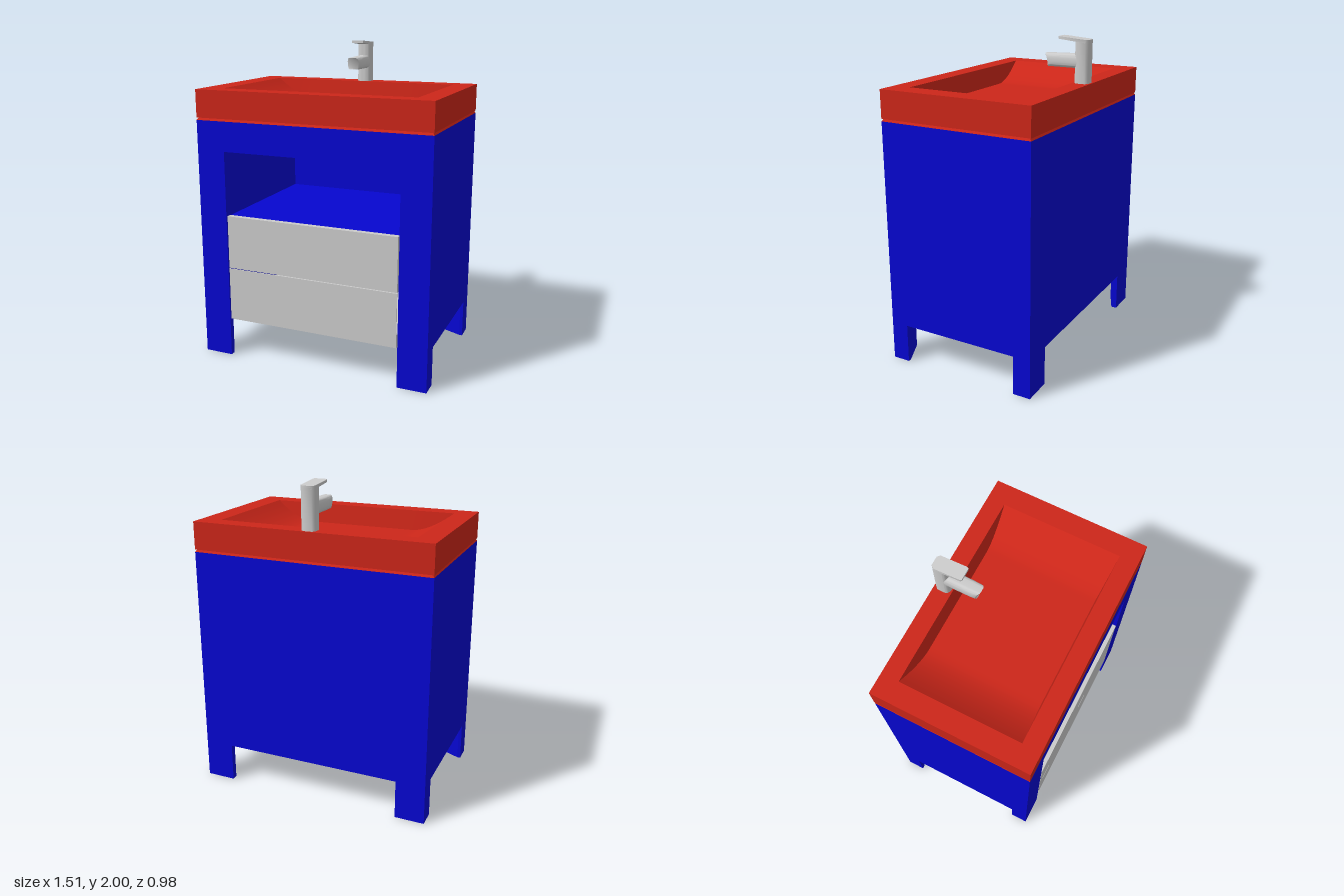
import * as THREE from 'three';
import { toCreasedNormals } from 'three/addons/utils/BufferGeometryUtils.js';

const blue = new THREE.MeshStandardMaterial({ color: 0x0606d0 });
const red = new THREE.MeshStandardMaterial({ color: 0xcc2619 });
const grey = new THREE.MeshStandardMaterial({ color: 0xcccccc });

function add(parent, name, geometry, material) {
  const mesh = new THREE.Mesh(geometry, material);
  mesh.name = name;
  parent.add(mesh);
  return mesh;
}

// Box given by its lower and upper limits on each axis
function box(parent, name, material, [x0, x1], [y0, y1], [z0, z1]) {
  const mesh = add(parent, name, new THREE.BoxGeometry(x1 - x0, y1 - y0, z1 - z0), material);
  mesh.position.set((x0 + x1) / 2, (y0 + y1) / 2, (z0 + z1) / 2);
  return mesh;
}

function polygon(points) {
  return new THREE.Shape(points.map(([x, y]) => new THREE.Vector2(x, y)));
}

// Extrudes a plan outline, drawn as (x, -z), upward from y0 to y1
function extrudeUp(shape, y0, y1) {
  const g = new THREE.ExtrudeGeometry(shape, { depth: y1 - y0, bevelEnabled: false, curveSegments: 10 });
  return g.rotateX(-Math.PI / 2).translate(0, y0, 0);
}

const W = 0.756, D = 0.491, IN = 0.57, LEG_Z = 0.38, BASE = 0.248, TOP = 1.54, RIM = 1.728;
const FRONT_T = 0.036, PANEL_T = 0.005, NICHE_TOP = 1.353;

function makeCabinet() {
  const g = new THREE.Group();
  g.name = 'cabinet';
  for (const s of [-1, 1]) {
    const span = (a, b) => (s > 0 ? [a, b] : [-b, -a]);
    // Hollow side: outer panel, inner wall and front face
    box(g, 'sidePanel', blue, span(W - PANEL_T, W), [BASE, TOP], [-D, D]);
    box(g, 'innerWall', blue, span(IN, IN + PANEL_T), [BASE, TOP], [-D + PANEL_T, D - PANEL_T]);
    box(g, 'frontColumn', blue, span(IN, W - PANEL_T), [BASE, TOP], [D - PANEL_T, D]);
    // Corner legs, cut back diagonally on the inside
    for (const f of [-1, 1]) {
      const leg = polygon([[W, D], [IN, D], [IN, D - FRONT_T], [W - 0.02, LEG_Z], [W, LEG_Z]]
        .map(([x, z]) => [s * x, f * z]));
      add(g, f > 0 ? 'frontLeg' : 'backLeg', extrudeUp(leg, 0, BASE), blue);
    }
  }
  box(g, 'frontRail', blue, [-IN, IN], [NICHE_TOP, TOP], [D - FRONT_T, D]);
  box(g, 'nicheCeiling', blue, [-IN, IN], [NICHE_TOP, NICHE_TOP + 0.015], [-D + PANEL_T, D - FRONT_T]);
  box(g, 'backPanel', blue, [-W + PANEL_T, W - PANEL_T], [BASE, TOP], [-D, -D + PANEL_T]);
  box(g, 'shelf', blue, [-IN, IN], [0.92, 0.938], [-D + PANEL_T, D - FRONT_T]);
  box(g, 'topPanel', blue, [-W + PANEL_T, W - PANEL_T], [TOP - 0.015, TOP], [-D + PANEL_T, D - FRONT_T]);
  return g;
}

function makeDrawers() {
  const g = new THREE.Group();
  g.name = 'drawers';
  const x = 0.562, zBack = -D + PANEL_T, zFront = D - PANEL_T;
  box(g, 'lowerDrawerFront', grey, [-x, x], [0.255, 0.599], [zFront, D]);
  box(g, 'upperDrawerFront', grey, [-x, x], [0.604, 0.944], [D - FRONT_T, D]);
  // Recessed underside of the lower drawer with its low side walls
  box(g, 'drawerBottom', grey, [-x, x], [0.32, 0.335], [zBack, zFront]);
  for (const s of [-1, 1]) {
    box(g, 'drawerSide', grey, s > 0 ? [x - PANEL_T, x] : [-x, -x + PANEL_T], [0.255, 0.32], [zBack, zFront]);
  }
  return g;
}

function makeSink() {
  const g = new THREE.Group();
  g.name = 'sink';
  const bx = 0.625, back = -0.38, front = 0.375, depth = 0.125;

  // Slab with a rectangular opening
  const slab = polygon([[-W, -D], [W, -D], [W, D], [-W, D]]);
  slab.holes.push(polygon([[-bx, -front], [-bx, -back], [bx, -back], [bx, -front]]));
  add(g, 'sinkSlab', extrudeUp(slab, 1.555, RIM), red);

  // Foot whose edge slopes in, leaving a narrow groove under the slab
  const foot = box(g, 'sinkFoot', red, [-W, W], [TOP, 1.556], [-D, D]).geometry;
  const fp = foot.attributes.position;
  for (let i = 0; i < fp.count; i++) {
    if (fp.getY(i) > 0) {
      fp.setX(i, fp.getX(i) - 0.01 * Math.sign(fp.getX(i)));
      fp.setZ(i, fp.getZ(i) - 0.01 * Math.sign(fp.getZ(i)));
    }
  }
  foot.computeVertexNormals();

  // Basin: sides sweep down gently to a flat floor, end walls lean slightly inward
  const rows = [
    ['basinBackWall', [back, 0], [back + 0.02, 1]],
    ['basinFloor', [back + 0.02, 1], [front - 0.02, 1]],
    ['basinFrontWall', [front - 0.02, 1], [front, 0]],
  ];
  for (const [name, a, b] of rows) {
    const geo = new THREE.PlaneGeometry(2 * bx, 1, 50, 1);
    const p = geo.attributes.position;
    for (let i = 0; i < p.count; i++) {
      const x = p.getX(i);
      const t = Math.min(1, (bx - Math.abs(x)) / (bx - 0.36));
      const drop = 1 - Math.pow(1 - t, 1.7);
      const lean = 1 - Math.pow(1 - t, 1.3);
      const [z, low] = p.getY(i) > 0 ? a : b;
      // Wall lean fades toward the ends so the edges meet at the corners
      const rimZ = z < 0 ? back : front;
      p.setXYZ(i, x, RIM - low * drop * depth, rimZ + (z - rimZ) * lean);
    }
    geo.computeVertexNormals();
    add(g, name, geo, red);
  }
  return g;
}

function makeFaucet() {
  const g = new THREE.Group();
  g.name = 'faucet';
  const w = 0.044, c = 0.016, zb = 0.48, crease = 0.9;

  // Body: chamfered at the back, rounded at the front
  const body = new THREE.Shape();
  body.moveTo(-w, 0.42);
  body.quadraticCurveTo(-w, 0.39, 0, 0.388);
  body.quadraticCurveTo(w, 0.39, w, 0.42);
  body.lineTo(w, zb - c);
  body.lineTo(w - c, zb);
  body.lineTo(-w + c, zb);
  body.lineTo(-w, zb - c);
  add(g, 'faucetBody', toCreasedNormals(extrudeUp(body, RIM, 1.975), crease), grey);

  // Lever: flat plate rising and thinning toward the front
  const plate = polygon([[-w + 0.006, 0.288], [w - 0.006, 0.288], [w, 0.298], [w, zb - c],
    [w - c, zb], [-w + c, zb], [-w, zb - c], [-w, 0.298]]);
  const lever = extrudeUp(plate, 0, 1);
  const lp = lever.attributes.position;
  for (let i = 0; i < lp.count; i++) {
    const t = (lp.getZ(i) + zb) / 0.192;
    lp.setY(i, lp.getY(i) > 0.5 ? 1.985 + 0.015 * t : 1.965 + 0.02 * t);
  }
  add(g, 'faucetLever', toCreasedNormals(lever, crease), grey);

  // Spout: rounded section with a slanted, rounded tip
  const s = new THREE.Shape();
  s.moveTo(-0.026, 1.817);
  s.lineTo(0.026, 1.817);
  s.quadraticCurveTo(0.043, 1.82, 0.043, 1.855);
  s.quadraticCurveTo(0.043, 1.9, 0.018, 1.9);
  s.lineTo(-0.018, 1.9);
  s.quadraticCurveTo(-0.043, 1.9, -0.043, 1.855);
  s.quadraticCurveTo(-0.043, 1.82, -0.026, 1.817);
  const spout = new THREE.ExtrudeGeometry(s, { depth: 1, steps: 10, bevelEnabled: false, curveSegments: 8 });
  const sp = spout.attributes.position;
  for (let i = 0; i < sp.count; i++) {
    const t = sp.getZ(i);
    const v = (sp.getY(i) - 1.817) / 0.083;
    const x = sp.getX(i) * (1 - 0.08 * t ** 8);
    const tip = -0.205 + 0.018 * v - 12 * x * x;
    sp.setXYZ(i, x, sp.getY(i) - 0.006 * t * v, -0.41 + (tip + 0.41) * t);
  }
  add(g, 'faucetSpout', toCreasedNormals(spout, crease), grey);
  return g;
}

export function createModel() {
  const model = new THREE.Group();
  model.name = 'washstand';
  model.add(makeCabinet(), makeDrawers(), makeSink(), makeFaucet());
  return model;
}
